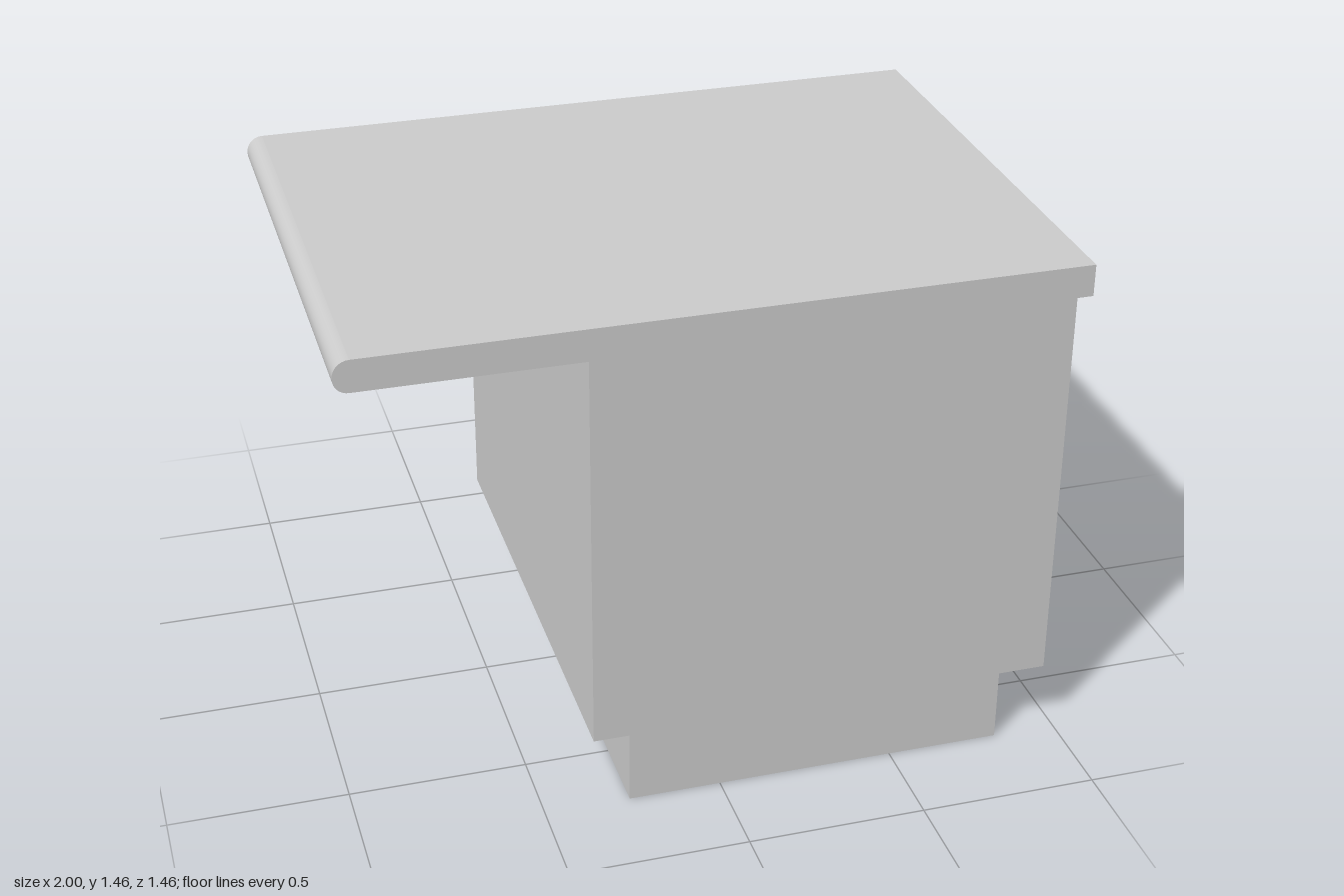
import * as THREE from 'three';

const DEPTH = 1.46, HALF = DEPTH / 2;
const material = new THREE.MeshStandardMaterial({ color: 0xcccccc, side: THREE.DoubleSide });

// Quarter-circle points from angle a, turning a quarter turn counter-clockwise
function quarter(cx, cy, r, a, steps = 8) {
  return Array.from({ length: steps + 1 }, (_, i) => {
    const t = a + (i / steps) * Math.PI / 2;
    return [cx + r * Math.cos(t), cy + r * Math.sin(t)];
  });
}

// Sheet swept along z through a counter-clockwise run of [x, y] points
function sheet(points, smooth = false) {
  const pos = [], index = [];
  points.forEach(([x, y], i) => {
    pos.push(x, y, HALF, x, y, -HALF);
    if (i) {
      const a = 2 * (i - 1);
      index.push(a, a + 1, a + 3, a, a + 3, a + 2);
    }
  });
  let geo = new THREE.BufferGeometry();
  geo.setAttribute('position', new THREE.Float32BufferAttribute(pos, 3));
  geo.setIndex(index);
  if (!smooth) geo = geo.toNonIndexed();
  geo.computeVertexNormals();
  return geo;
}

export function createModel() {
  const group = new THREE.Group();
  const add = (name, geo) => {
    const mesh = new THREE.Mesh(geo, material);
    mesh.name = name;
    group.add(mesh);
    return mesh;
  };

  // Cross-section: open plinth, recessed toe kicks, cabinet walls, overhanging top
  const drawerSide = [[0.82, 0], [0.82, 0.213], [0.955, 0.213], [0.955, 1.37]];
  const topEdge = [[0.955, 1.37], [1, 1.37], [1, 1.46], [-0.955, 1.46]];
  const nose = [
    ...quarter(-0.955, 1.415, 0.045, Math.PI / 2),
    ...quarter(-0.96, 1.41, 0.04, Math.PI),
  ];
  const overhang = [[-0.96, 1.37], [-0.36, 1.37]];
  const kneeSide = [[-0.36, 1.37], [-0.36, 0.213], [-0.26, 0.213], [-0.26, 0]];

  add('drawerSideWall', sheet(drawerSide));
  add('worktop', sheet(topEdge));
  add('worktopRoundedEdge', sheet(nose, true));
  add('worktopOverhangUnderside', sheet(overhang));
  add('kneeSideWall', sheet(kneeSide));

  // Flat end panels, flush with the worktop ends
  const outline = [...drawerSide, ...topEdge.slice(1), ...nose.slice(1), ...overhang.slice(1), ...kneeSide.slice(1)];
  const shape = new THREE.Shape(outline.map(([x, y]) => new THREE.Vector2(x, y)));
  add('frontEndPanel', new THREE.ShapeGeometry(shape)).position.z = HALF;
  const back = new THREE.ShapeGeometry(shape);
  back.scale(-1, 1, 1);
  // mirror the outline by turning it round, so it faces backwards
  const mirrored = new THREE.Shape(outline.map(([x, y]) => new THREE.Vector2(-x, y)).reverse());
  const backPanel = add('backEndPanel', new THREE.ShapeGeometry(mirrored));
  backPanel.rotation.y = Math.PI;
  backPanel.position.z = -HALF;

  // Long bar handles
  for (const y of [0.8, 1.195]) {
    add('drawerHandle', new THREE.BoxGeometry(0.032, 0.042, 1.275)).position.set(0.97, y, -0.005);
  }

  return group;
}
